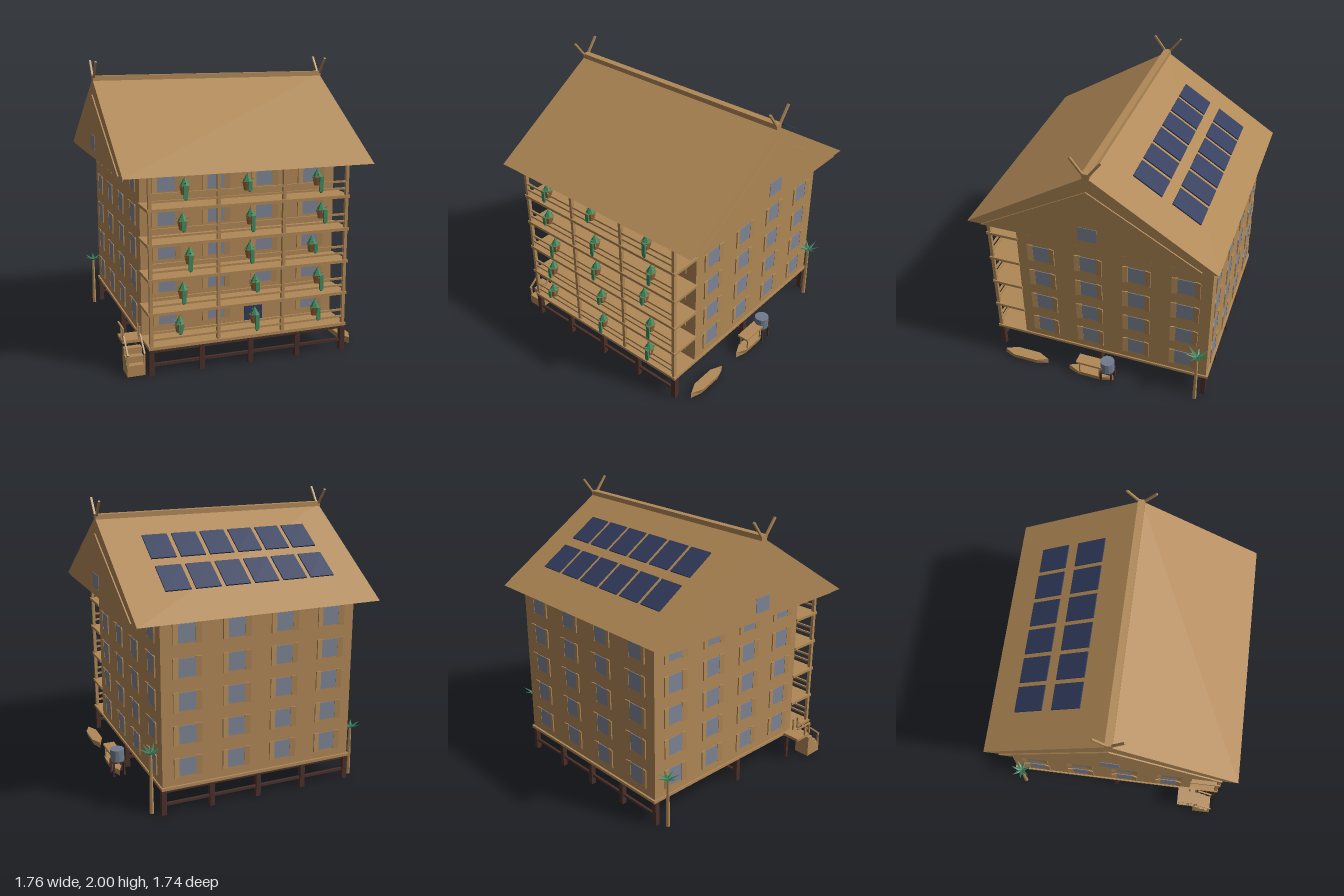
import * as THREE from 'three';

const mat = (name, color) => {
  const m = new THREE.MeshStandardMaterial({ color, flatShading: true });
  m.name = name;
  return m;
};

export function createModel() {
  const root = new THREE.Group();
  root.name = 'stiltHouse';
  const wood = mat('tan wood', 0xb08856);
  const dark = mat('dark timber', 0x49302a);
  const glass = mat('window glass', 0x7d8494);
  const navy = mat('navy panel', 0x313b5c);
  const leaf = mat('leaf green', 0x3f8a5e);
  const palm = mat('palm green', 0x2f7350);
  const pot = mat('clay pot', 0xa06a3c);
  const steel = mat('tank steel', 0x6f7a8c);

  const add = (name, geo, m, x = 0, y = 0, z = 0, parent = root) => {
    const o = new THREE.Mesh(geo, m);
    o.name = name;
    o.position.set(x, y, z);
    parent.add(o);
    return o;
  };
  const box = (name, m, w, h, d, x, y, z, parent) =>
    add(name, new THREE.BoxGeometry(w, h, d), m, x, y, z, parent);
  // square beam between two points
  const beam = (name, m, a, b, t, parent) => {
    const A = new THREE.Vector3(...a), B = new THREE.Vector3(...b);
    const o = box(name, m, t, A.distanceTo(B), t, 0, 0, 0, parent);
    o.position.copy(A).add(B).multiplyScalar(0.5);
    o.quaternion.setFromUnitVectors(new THREE.Vector3(0, 1, 0), B.sub(A).normalize());
    return o;
  };
  // prism with a triangular section, running along x
  const gablePrism = (name, halfZ, y0, y1, halfX) => {
    const s = new THREE.Shape([[-halfZ, y0], [halfZ, y0], [0, y1]].map(p => new THREE.Vector2(...p)));
    const g = new THREE.ExtrudeGeometry(s, { depth: halfX * 2, bevelEnabled: false });
    g.translate(0, 0, -halfX).rotateY(Math.PI / 2);
    return add(name, g, wood);
  };

  // house body and floor
  box('houseBody', wood, 1.4, 1.14, 1.4, 0, 0.76, -0.1);
  box('floorPlatform', wood, 1.42, 0.02, 1.645, 0, 0.19, 0.008);

  // stilts with two rails in each row
  for (const z of [0.805, 0.01, -0.785]) {
    for (let i = -2; i <= 2; i++) box('stilt', dark, 0.035, 0.18, 0.035, i * 0.345, 0.09, z);
    for (const y of [0.072, 0.165]) box('stiltRail', dark, 1.38, 0.018, 0.018, 0, y, z);
  }

  // balconies
  const pitch = 0.228;
  for (let f = 0; f < 5; f++) {
    const y = 0.19 + f * pitch;
    if (f) box('balconySlab', wood, 1.42, 0.02, 0.235, 0, y, 0.712);
    for (const dy of [0.055, 0.103]) box('balconyRail', wood, 1.4, 0.013, 0.013, 0, y + dy, 0.812);
  }
  for (const x of [-0.69, -0.23, 0.23, 0.69]) box('balconyPost', wood, 0.022, 1.13, 0.024, x, 0.765, 0.812);

  // windows with open shutters, repeated on four walls
  for (let side = 0; side < 4; side++) {
    const wall = new THREE.Group();
    wall.name = 'wallWindows';
    wall.position.z = -0.1;
    wall.rotation.y = side * Math.PI / 2;
    root.add(wall);
    for (let f = 0; f < 5; f++) for (let c = 0; c < 4; c++) {
      if (side === 0 && f === 0 && c === 2) continue;
      const x = (c - 1.5) * 0.348, y = 0.326 + f * pitch;
      box('windowPane', glass, 0.125, 0.125, 0.008, x, y, 0.701, wall);
      for (const s of [-1, 1]) {
        const sh = box('shutter', wood, 0.04, 0.138, 0.008, x + s * 0.08, y, 0.707, wall);
        sh.rotation.y = -s * 0.18;
      }
    }
  }
  box('frontDoor', navy, 0.135, 0.2, 0.009, 0.102, 0.298, 0.603);

  // roof, gable panels and ridge
  gablePrism('roof', 0.865, 1.322, 1.873, 0.867);
  gablePrism('gablePanels', 0.76, 1.324, 1.765, 0.876);
  box('ridgeCap', wood, 1.734, 0.034, 0.05, 0, 1.878, 0);
  for (const s of [-1, 1]) {
    box('gableWindow', glass, 0.006, 0.105, 0.13, s * 0.876, 1.432, 0);
    for (const d of [-1, 1])
      beam('crossedFinial', wood, [s * 0.86, 1.855, -d * 0.004], [s * 0.86, 1.994, d * 0.102], 0.014);
  }

  // solar panels on the back slope
  const slope = Math.atan2(0.551, 0.865);
  for (const [y, z] of [[1.706, -0.315], [1.546, -0.577]])
    for (let i = 0; i < 6; i++) {
      const p = box('solarPanel', navy, 0.177, 0.009, 0.228, (i - 2.5) * 0.209, y, z);
      p.rotation.x = -slope;
    }

  // leaf blade: a flattened cone pointing outward from its origin
  const blade = (name, m, len, w, yaw, lift, parent) => {
    const g = new THREE.ConeGeometry(w, len, 4);
    g.translate(0, len / 2, 0).scale(1, 1, 0.3);
    const b = add(name, g, m, 0, 0, 0, parent);
    b.rotation.order = 'YXZ';
    b.rotation.set(Math.PI / 2 - lift, yaw, 0);
    return b;
  };

  // potted plants along the railings
  const plantX = [[-0.5, 0.025, 0.47], [-0.475, 0.025, 0.485], [-0.43, -0.015, 0.435],
    [-0.475, -0.01, 0.5], [-0.46, -0.035, 0.465]];
  plantX.forEach((row, f) => row.forEach((x, i) => {
    const g = new THREE.Group();
    g.name = 'pottedPlant';
    g.position.set(x, 0.345 + f * pitch, 0.82);
    root.add(g);
    add('pot', new THREE.CylinderGeometry(0.036, 0.024, 0.058, 8), pot, 0, -0.033, 0, g);
    add('foliage', new THREE.ConeGeometry(0.034, 0.062, 6), leaf, 0, 0.022, 0, g);
    for (let k = 0; k < 6; k++)
      blade('leaf', leaf, 0.055, 0.013, k * 1.047 + i + f, k % 2 ? -0.35 : 0.4, g);
    const len = [0.06, 0.085, 0.1][(f + i * 2) % 3];
    box('trailingVine', leaf, 0.026, len, 0.012, 0.008 * (i - 0.5), -len / 2, 0.038, g);
    add('vineTip', new THREE.IcosahedronGeometry(0.012, 0), leaf, 0.008 * (i - 0.5), -len, 0.036, g);
  }));

  // palms beside the back corners
  for (const [x, z, h, r] of [[0.757, -0.74, 0.43, 0.1], [-0.76, -0.74, 0.36, 0.085]]) {
    const g = new THREE.Group();
    g.name = 'palmTree';
    g.position.set(x, 0, z);
    root.add(g);
    add('palmTrunk', new THREE.CylinderGeometry(0.01, 0.015, h, 6), wood, 0, h / 2, 0, g);
    const crown = new THREE.Group();
    crown.name = 'palmCrown';
    crown.position.y = h;
    g.add(crown);
    for (let k = 0; k < 7; k++) blade('palmFrond', palm, r, 0.018, k * Math.PI * 2 / 7 + 0.3, 0.42, crown);
  }

  // side stairs with landing and handrails
  box('landing', wood, 0.145, 0.02, 0.14, -0.773, 0.19, 0.585);
  box('landingPost', dark, 0.022, 0.18, 0.022, -0.73, 0.09, 0.528);
  for (let i = 0; i < 3; i++) {
    const h = 0.075 + i * 0.043;
    box('stairStep', wood, 0.12, h, 0.045, -0.785, h / 2, 0.763 - i * 0.045);
  }
  for (const x of [-0.84, -0.728]) {
    beam('stairRail', wood, [x, 0.145, 0.785], [x, 0.24, 0.67], 0.011);
    box('stairRailPost', wood, 0.011, 0.13, 0.011, x, 0.09, 0.775);
    for (const z of [0.655, 0.605]) box('landingRailPost', wood, 0.011, 0.09, 0.011, x, 0.245, z);
  }
  box('landingRail', wood, 0.011, 0.011, 0.14, -0.84, 0.285, 0.585);

  // boats with pointed ends; the hull narrows toward the keel
  const boat = z => {
    const pts = [[0, -0.175], [0.04, -0.09], [0.04, 0.09], [0, 0.175], [-0.04, 0.09], [-0.04, -0.09]];
    const g = new THREE.ExtrudeGeometry(new THREE.Shape(pts.map(p => new THREE.Vector2(...p))),
      { depth: 0.045, bevelEnabled: false });
    g.rotateX(-Math.PI / 2);
    const p = g.attributes.position;
    for (let i = 0; i < p.count; i++) if (p.getY(i) < 0.01) p.setX(i, p.getX(i) * 0.7);
    g.computeVertexNormals();
    add('boatHull', g, wood, 0.79, 0, z);
  };
  boat(0.57);
  boat(0.047);
  box('boatCanopy', wood, 0.085, 0.016, 0.2, 0.79, 0.14, 0.05);
  for (const x of [0.758, 0.822]) for (const z of [-0.03, 0.125])
    box('canopyPost', wood, 0.009, 0.1, 0.009, x, 0.09, z);

  // water tank on legs
  add('waterTank', new THREE.CylinderGeometry(0.052, 0.052, 0.088, 12), steel, 0.793, 0.154, -0.085);
  box('tankStand', dark, 0.095, 0.01, 0.095, 0.793, 0.106, -0.085);
  for (const dx of [-0.04, 0.04]) for (const dz of [-0.04, 0.04])
    box('tankLeg', dark, 0.013, 0.105, 0.013, 0.793 + dx, 0.052, -0.085 + dz);

  return root;
}
